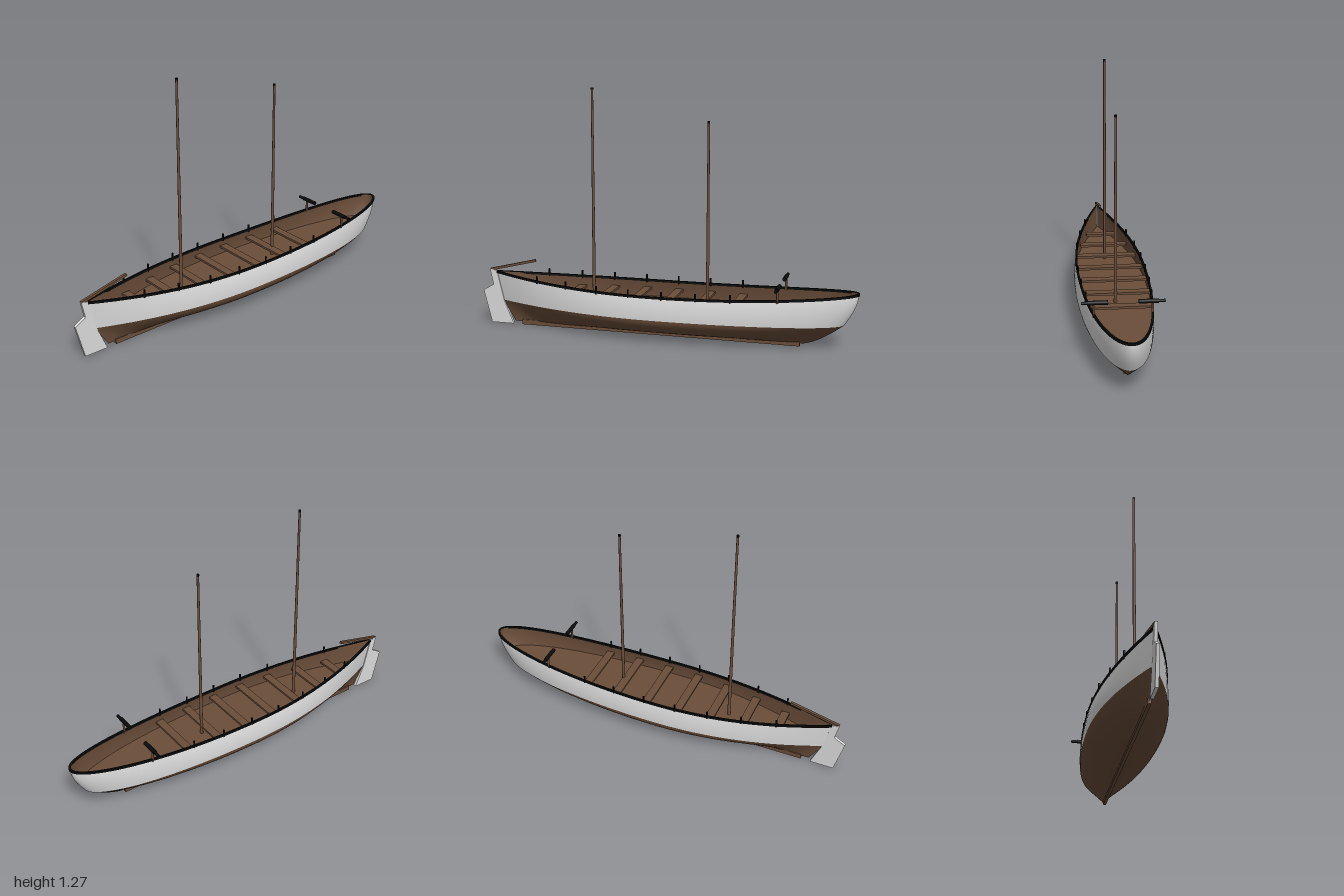
import * as THREE from 'three';
import { toCreasedNormals } from 'three/addons/utils/BufferGeometryUtils.js';

const paint = (name, color) => Object.assign(new THREE.MeshStandardMaterial({ color }), { name });
const WATERLINE = 0.127, KEEL = 0.015, FLOOR_V = 0.25;
const sheer = (z) => 0.245 + 0.043 * z * z;

// Half breadth along one waterline: round towards the bow, pointed at the stern.
function breadth(beam, z, bow, stern, fine) {
  const w = Math.min(1, z < 0 ? z / bow : z / stern);
  return beam * (z < 0 ? Math.pow(1 - w * w, 0.5 + 0.4 * fine) : Math.pow(1 - Math.pow(w, 2.1), 1 + 0.6 * fine));
}
// t runs from the stern (-1) round the bow (0) to the stern (1).
const along = (t, bow, stern) => bow + (stern - bow) * (1 - Math.cos(Math.abs(t) * Math.PI / 2));

const topBow = (v) => -0.93 - 0.065 * Math.sin(v * Math.PI / 2);
const topStern = (v) => 0.89 + 0.04 * v;
const topBeam = (v) => 0.187 + 0.006 * v - 0.018 * v * v;
const topHalf = (z, v) => breadth(topBeam(v), z, topBow(v), topStern(v), 0);

function topside(t, v) {
  const z = along(t, topBow(v), topStern(v));
  return new THREE.Vector3(Math.sign(t) * topHalf(z, v), WATERLINE + (sheer(z) - WATERLINE) * v, z);
}
function bottom(t, k) {
  const s = k * k;
  const bow = -0.72 - 0.21 * Math.pow(s, 0.65), stern = 0.82 + 0.07 * s;
  const z = along(t, bow, stern);
  const beam = 0.187 * Math.pow(1 - (1 - s) ** 2, 0.75);
  return new THREE.Vector3(Math.sign(t) * breadth(beam, z, bow, stern, 1 - s), KEEL + (WATERLINE - KEEL) * s, z);
}
// Moves a topside point sideways along its horizontal normal.
function offset(t, v, out, up = 0) {
  const p = topside(t, v);
  const d = topside(Math.min(1, t + 0.01), v).sub(topside(Math.max(-1, t - 0.01), v)).setY(0).normalize();
  const side = Math.sign(t) || 1;
  const x = p.x + d.z * out;
  return new THREE.Vector3(t === 0 ? 0 : side * Math.max(0, side * x), p.y + up, p.z - d.x * out);
}

// Surface through f(t, v), facing outwards unless flipped.
function grid(f, nt, nv, flip = false) {
  const pos = [], index = [];
  for (let j = 0; j <= nv; j++)
    for (let i = 0; i <= nt; i++) pos.push(...f(-1 + 2 * i / nt, j / nv).toArray());
  for (let j = 0; j < nv; j++)
    for (let i = 0; i < nt; i++) {
      const a = j * (nt + 1) + i, b = a + 1, c = a + nt + 1, d = c + 1;
      index.push(...(flip ? [a, b, c, b, d, c] : [a, c, b, b, c, d]));
    }
  const g = new THREE.BufferGeometry();
  g.setAttribute('position', new THREE.Float32BufferAttribute(pos, 3));
  g.setIndex(index);
  g.computeVertexNormals();
  return g;
}

export function createModel() {
  const boat = new THREE.Group();
  boat.name = 'boat';
  const wood = paint('brown wood', 0x6b4e3a);
  const white = paint('white paint', 0xdcdcdc);
  const black = paint('black iron', 0x0a0a0a);

  function add(name, geometry, material, x = 0, y = 0, z = 0, parent = boat) {
    const m = new THREE.Mesh(geometry, material);
    m.name = name;
    m.position.set(x, y, z);
    parent.add(m);
    return m;
  }

  // Hull skins
  add('hullTopside', grid(topside, 96, 12), white);
  add('hullBottom', grid(bottom, 96, 16), wood);
  add('hullLining', grid((t, v) => offset(t, v, -0.005), 96, 8, true), wood);
  add('keel', new THREE.BoxGeometry(0.016, 0.026, 1.49), wood, 0, 0.013, 0.035);

  // Floor spans between the two sides, facing up
  add('floor', grid((t, v) => {
    const p = offset((t + 1) / 2, FLOOR_V, -0.003);
    p.x *= 1 - 2 * v;
    return p;
  }, 48, 2), wood);

  // Gunwale with a rectangular section swept along the sheer
  const section = [[0.005, -0.008], [0.005, 0.004], [-0.005, 0.004], [-0.005, -0.008], [0.005, -0.008]];
  const rail = grid((t, v) => offset(t, 1, ...section[Math.round(v * 4)]), 96, 4);
  add('gunwale', toCreasedNormals(rail, 0.7), black);

  // Thwarts with a pair of thole pins beside each
  for (let i = 0; i < 7; i++) {
    const z = -0.39 + 0.174 * i;
    const half = Math.min(topHalf(z - 0.022, 0.5), topHalf(z + 0.022, 0.5)) - 0.004;
    add('thwart', new THREE.BoxGeometry(2 * half, 0.012, 0.043), wood, 0, 0.2, z);
    const pz = z + 0.004;
    for (const side of [-1, 1])
      add('tholePin', new THREE.CylinderGeometry(0.005, 0.005, 0.042, 8), black,
        side * (topHalf(pz, 1) - 0.001), sheer(pz) + 0.008, pz);
  }

  // Masts with dark caps
  for (const [name, z, top] of [['aftMast', 0.373, 1.27], ['foreMast', -0.235, 1.115]]) {
    const base = 0.145, h = top - 0.008 - base;
    add(name, new THREE.CylinderGeometry(0.006, 0.0085, h, 12), wood, 0, base + h / 2, z);
    add(name + 'Cap', new THREE.CylinderGeometry(0.007, 0.007, 0.01, 12), black, 0, top - 0.005, z);
  }

  // Swivel mounts near the bow: post and stepped barrel pointing outboard
  for (const side of [-1, 1]) {
    const swivel = new THREE.Group();
    swivel.name = side > 0 ? 'leftSwivel' : 'rightSwivel';
    swivel.position.set(0, 0.32, -0.615);
    boat.add(swivel);
    add('post', new THREE.CylinderGeometry(0.006, 0.006, 0.07, 8), wood, side * 0.137, -0.038, 0, swivel);
    add('breech', new THREE.CylinderGeometry(0.0105, 0.0105, 0.093, 12), black, side * 0.118, 0, 0, swivel).rotation.z = Math.PI / 2;
    add('muzzle', new THREE.CylinderGeometry(0.0075, 0.0075, 0.034, 12), black, side * 0.179, 0, 0, swivel).rotation.z = Math.PI / 2;
  }

  // Rudder plate, drawn in (z, y) and turned upright
  const outline = [[0.96, 0.295], [0.942, 0.21], [1, 0.176], [0.955, 0], [0.83, 0], [0.883, 0.127], [0.92, 0.285]];
  const rudder = new THREE.ExtrudeGeometry(
    new THREE.Shape(outline.map(([z, y]) => new THREE.Vector2(-z, y))), { depth: 0.016, bevelEnabled: false });
  rudder.translate(0, 0, -0.008).rotateY(Math.PI / 2);
  add('rudder', rudder, white);

  // Tiller sloping up and forward
  const tiller = add('tiller', new THREE.BoxGeometry(0.014, 0.013, 0.265), wood, 0, 0.322, 0.828);
  tiller.rotation.x = Math.atan2(0.062, 0.255);

  return boat;
}
